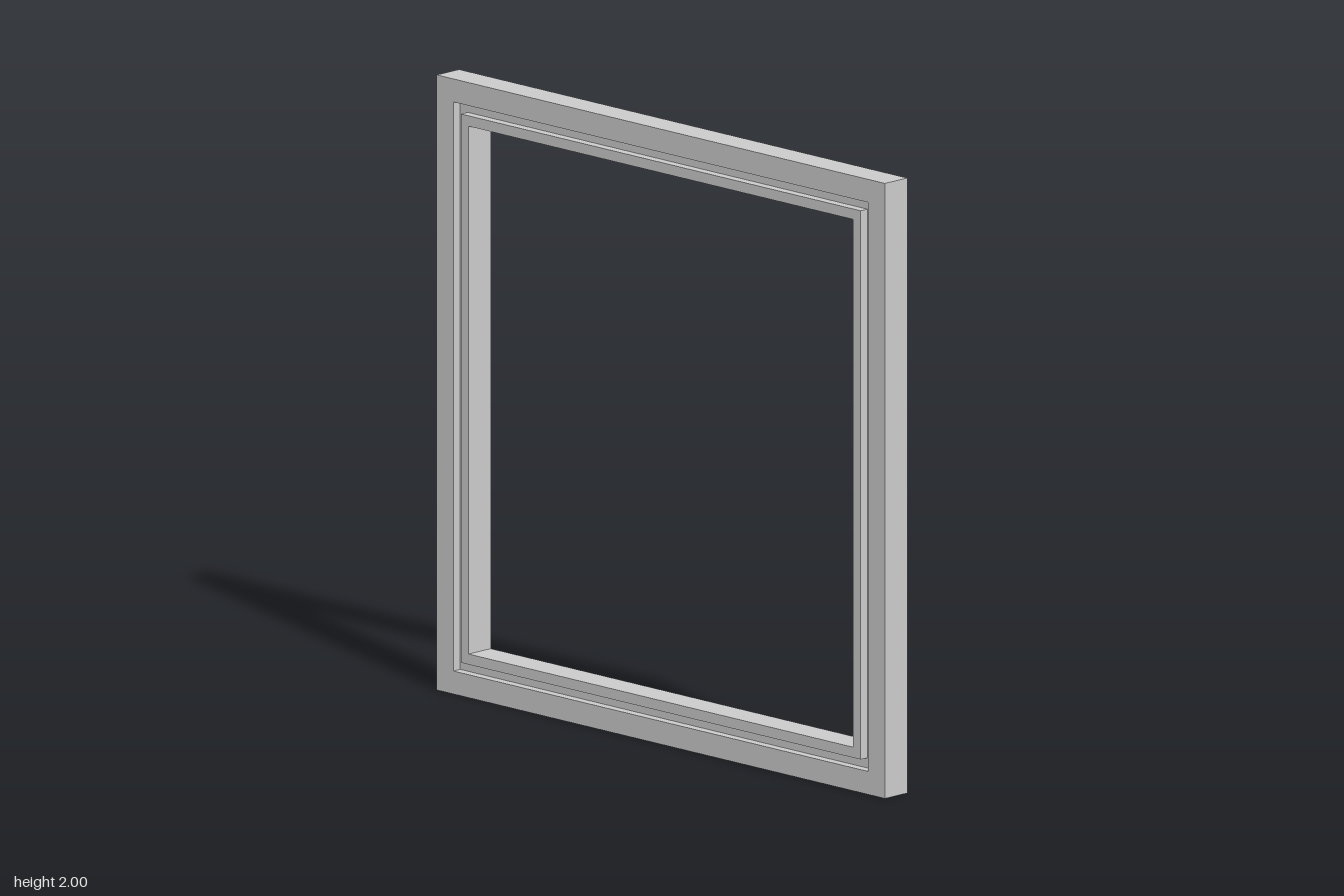
import * as THREE from 'three';

// Sweeps a closed (half-width, depth) profile round a square with mitred corners.
function squareSweep(profile) {
  const points = [...profile, profile[0]].map(([half, depth]) => new THREE.Vector2(half * Math.SQRT2, depth));
  const geometry = new THREE.LatheGeometry(points, 4)
    .rotateY(Math.PI / 4)
    .rotateZ(Math.PI / 2) // depth axis turns towards -x
    .toNonIndexed();
  geometry.computeVertexNormals();
  return geometry;
}

export function createModel() {
  const group = new THREE.Group();
  group.name = 'squareFrame';

  const outer = 1, inner = 0.858, half = 0.05;
  const grooveOuter = 0.925, grooveInner = 0.892, grooveFloor = 0.02;

  // Frame section: plain face on +x, narrow groove cut into the -x face
  const frame = new THREE.Mesh(
    squareSweep([
      [inner, -half],
      [outer, -half],
      [outer, half],
      [grooveOuter, half],
      [grooveOuter, grooveFloor],
      [grooveInner, grooveFloor],
      [grooveInner, half],
      [inner, half],
    ]),
    new THREE.MeshStandardMaterial({ color: 0xcccccc, flatShading: true })
  );
  frame.name = 'groovedFrame';
  frame.position.y = 1;
  group.add(frame);

  return group;
}
